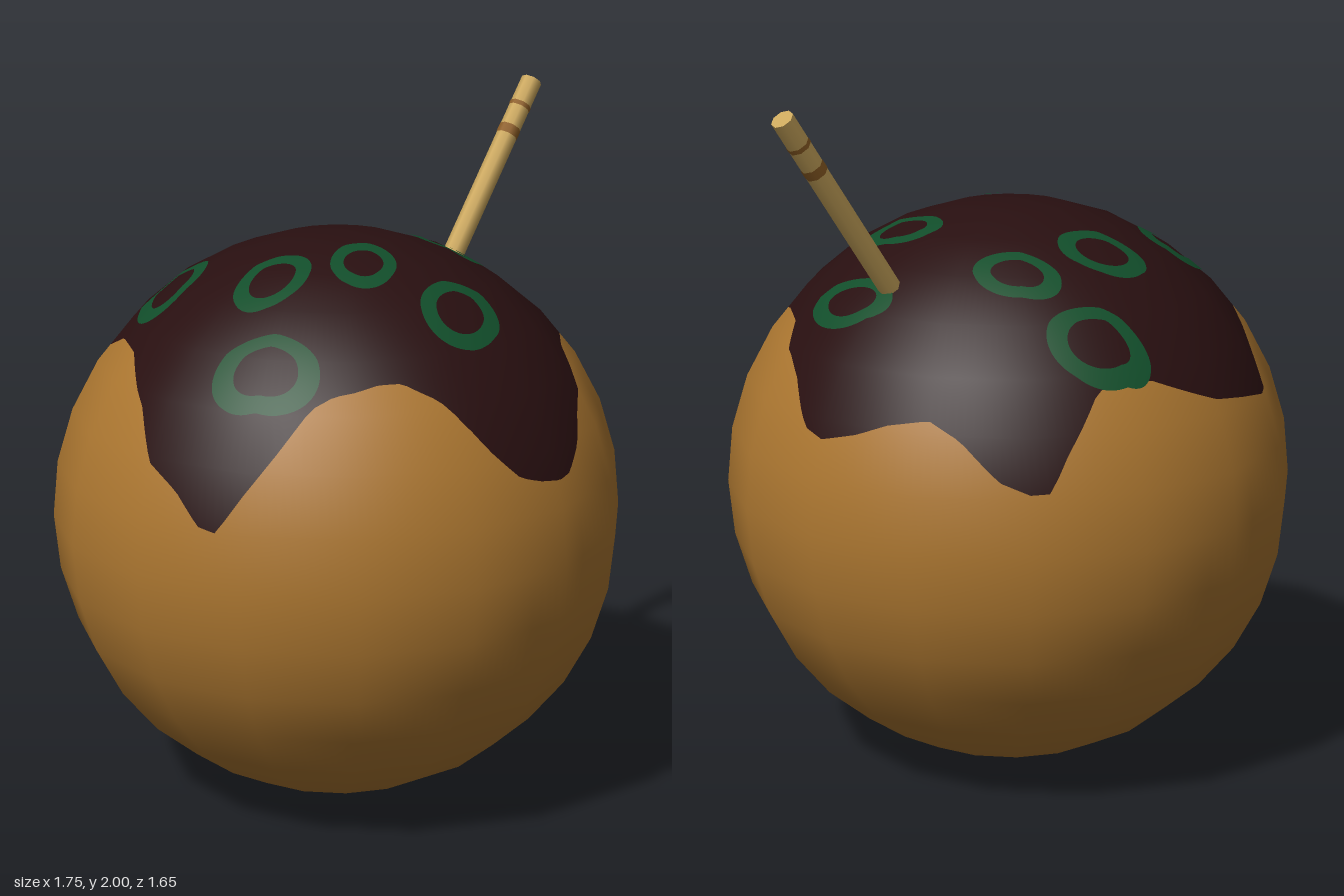
import * as THREE from 'three';

const R = 0.825, N = 16, STEP = Math.PI / N, SIDE = 2 * Math.PI / N;
const CENTER = new THREE.Vector3(-0.05, R, 0);

const paint = (name, color) => {
  const m = new THREE.MeshStandardMaterial({ color });
  m.name = name;
  return m;
};

// Lower edge of the glaze: azimuth in degrees (from +x towards +z), height
const DRIPS = [
  [0, 1.095], [6, 1.11], [15, 1.22], [21, 1.27], [32, 1.335], [43, 1.345], [54, 1.33], [64, 1.28],
  [73, 1.19], [79, 1.11], [84, 1.065], [88, 1.06], [94, 1.07], [99, 1.09], [104, 1.15], [109, 1.23],
  [115, 1.31], [123, 1.355], [129, 1.355], [140, 1.33], [145, 1.3], [149, 1.24], [153, 1.17],
  [158, 1.08], [163, 0.98], [167, 0.99], [173, 1.07], [180, 1.13], [189, 1.25], [203, 1.36],
  [219, 1.364], [234, 1.28], [242, 1.2], [249, 1.14], [258, 1.156], [269, 1.18], [286, 1.26],
  [299, 1.25], [307, 1.1], [311, 1.0], [315, 1.0], [321, 1.03], [329, 1.13], [336, 1.18],
  [345, 1.155], [352, 1.12], [360, 1.095],
];

// Polar angle of the glaze edge at an azimuth
function dripAngle(phi) {
  const deg = THREE.MathUtils.radToDeg(phi);
  let k = 0;
  while (k < DRIPS.length - 2 && DRIPS[k + 1][0] < deg) k++;
  const [a, ya] = DRIPS[k], [b, yb] = DRIPS[k + 1];
  return Math.acos((THREE.MathUtils.lerp(ya, yb, (deg - a) / (b - a)) - R) / R);
}

// Distance of a 16-sided outline from its axis, relative to its corners
function outline(phi) {
  const local = THREE.MathUtils.euclideanModulo(phi, SIDE) - SIDE / 2;
  return Math.cos(SIDE / 2) / Math.cos(local);
}

// Point on the faceted ball, relative to its centre
function ballPoint(phi, theta) {
  const f = theta / STEP, k = Math.min(Math.floor(f), N - 1), t = f - k;
  const r = R * THREE.MathUtils.lerp(Math.sin(k * STEP), Math.sin((k + 1) * STEP), t) * outline(phi);
  const y = R * THREE.MathUtils.lerp(Math.cos(k * STEP), Math.cos((k + 1) * STEP), t);
  return new THREE.Vector3(r * Math.cos(phi), y, r * Math.sin(phi));
}

// Point on the upper half of the ball straight above x, z
function pointAbove(x, z) {
  const r = Math.hypot(x, z) / outline(Math.atan2(z, x)) / R;
  let k = 0;
  while (k < N / 2 - 1 && Math.sin((k + 1) * STEP) < r) k++;
  const r0 = Math.sin(k * STEP), r1 = Math.sin((k + 1) * STEP);
  const t = Math.min((r - r0) / (r1 - r0), 1);
  return new THREE.Vector3(x, R * THREE.MathUtils.lerp(Math.cos(k * STEP), Math.cos((k + 1) * STEP), t), z);
}

// Grid of points with smooth normals pointing away from the ball's centre
function patch(rows, cols, pointAt) {
  const pos = [], nor = [], index = [];
  for (let i = 0; i <= rows; i++) {
    for (let j = 0; j <= cols; j++) {
      const p = pointAt(i, j);
      pos.push(p.x, p.y, p.z);
      nor.push(...p.normalize().toArray());
      if (i < rows && j < cols) {
        const a = i * (cols + 1) + j, b = a + cols + 1;
        index.push(a, a + 1, b, b, a + 1, b + 1);
      }
    }
  }
  const g = new THREE.BufferGeometry();
  g.setAttribute('position', new THREE.Float32BufferAttribute(pos, 3));
  g.setAttribute('normal', new THREE.Float32BufferAttribute(nor, 3));
  g.setIndex(index);
  return g;
}

export function createModel() {
  const model = new THREE.Group();
  const dough = paint('golden dough', 0xab7630);
  const glaze = paint('dark glaze', 0x280f10);
  const green = paint('green onion', 0x114d2a);
  const wood = paint('bamboo', 0xcba75c);
  const nodeMat = paint('bamboo node', 0x8f5f25);

  const add = (parent, name, geometry, material) => {
    const m = new THREE.Mesh(geometry, material);
    m.name = name;
    parent.add(m);
    return m;
  };

  const ball = new THREE.Group();
  ball.name = 'ball';
  ball.position.copy(CENTER);
  model.add(ball);

  // Dough below the drip edge, glaze above it
  const COLS = 192;
  const half = (clamp) => patch(N, COLS, (i, j) => {
    const phi = j / COLS * Math.PI * 2;
    return ballPoint(phi, clamp(i * STEP, dripAngle(phi)));
  });
  add(ball, 'doughBall', half(Math.max), dough);
  add(ball, 'glazeCap', half(Math.min), glaze);

  // Onion rings seen from above: x, z, half length, half width, turn in degrees
  const rings = [
    [-0.40, -0.31, 0.135, 0.092, -20], [0, -0.38, 0.125, 0.088, 35],
    [0.225, -0.555, 0.142, 0.078, 40], [0.265, -0.30, 0.122, 0.073, 60],
    [-0.39, 0.06, 0.12, 0.095, 0], [-0.605, 0.23, 0.148, 0.083, 65],
    [-0.19, 0.215, 0.115, 0.09, -30], [-0.09, 0.475, 0.134, 0.097, -8],
    [0.235, 0.15, 0.135, 0.077, 90], [0.495, 0.10, 0.145, 0.063, 92],
  ];
  for (const [x, z, a, b, deg] of rings) {
    const turn = THREE.MathUtils.degToRad(deg), c = Math.cos(turn), s = Math.sin(turn);
    const g = patch(4, 64, (i, j) => {
      const t = j / 64 * Math.PI * 2, k = 0.6 + 0.1 * i;
      const u = a * k * Math.cos(t), v = b * k * Math.sin(t);
      const p = pointAbove(x - CENTER.x + u * c - v * s, z + u * s + v * c);
      return p.setLength(p.length() + 0.004);
    });
    add(ball, 'onionRing', g, green);
  }

  // Stick pointing straight out of the ball
  const stick = new THREE.Group();
  stick.name = 'stick';
  stick.position.copy(CENTER);
  stick.rotation.z = -Math.atan2(0.615, 0.789);
  model.add(stick);
  const rod = (name, from, to, radius, material, open) => {
    const g = new THREE.CylinderGeometry(radius, radius, to - from, 8, 1, open);
    add(stick, name, g, material).position.y = (from + to) / 2;
  };
  rod('stickShaft', 0.65, 1.462, 0.032, wood, false);
  rod('stickNode', 1.265, 1.295, 0.0335, nodeMat, true);
  rod('stickNode', 1.362, 1.376, 0.0335, nodeMat, true);

  return model;
}
